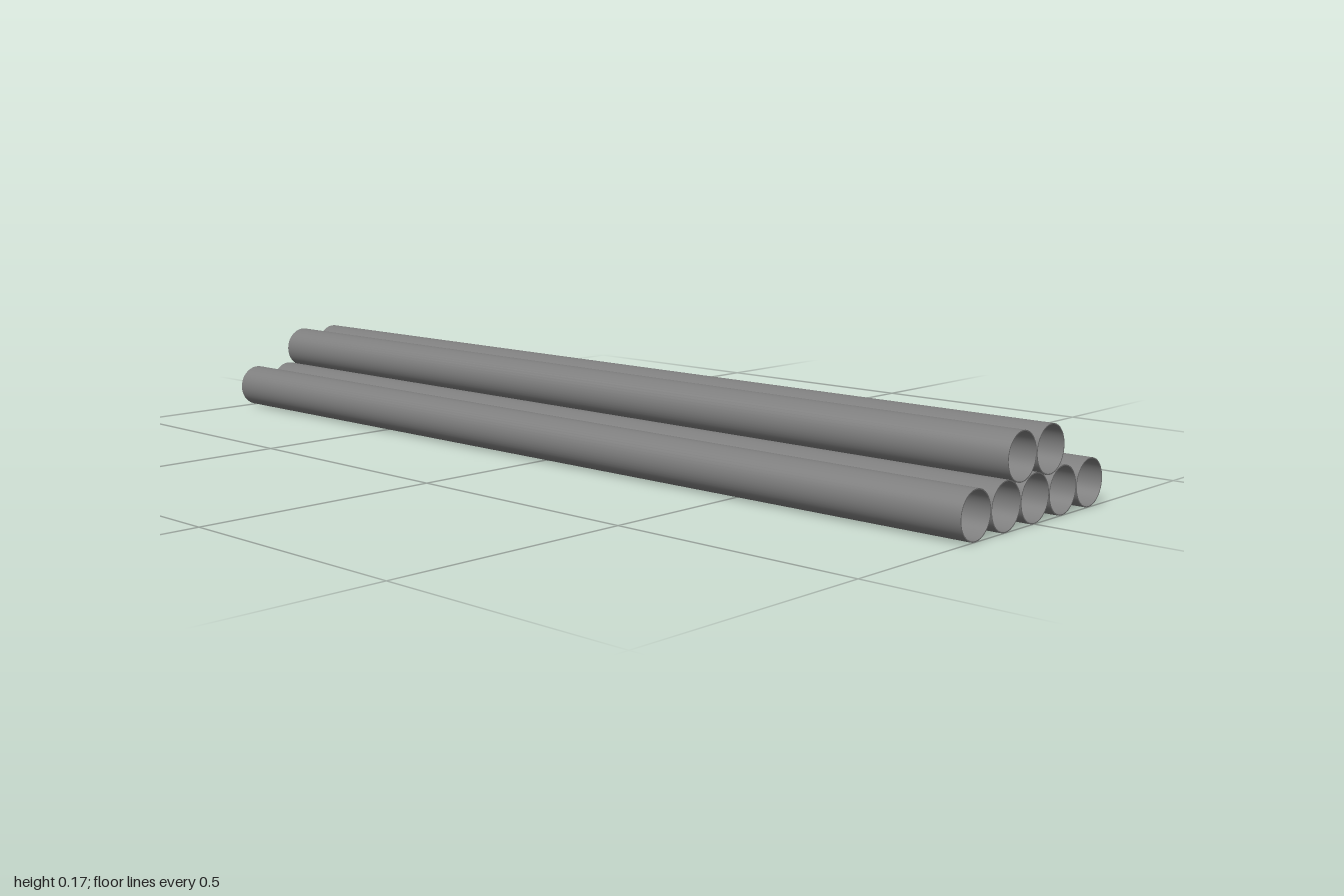
import * as THREE from 'three';
import { mergeGeometries } from 'three/addons/utils/BufferGeometryUtils.js';

const OUTER = 0.0449, INNER = 0.0428, HALF = 1, SPACING = 0.0908, SIDES = 48;

// Thin-walled open pipe along z; each profile edge is lathed separately to keep rims crisp
function pipeGeometry() {
  const profile = [[OUTER, -HALF], [OUTER, HALF], [INNER, HALF], [INNER, -HALF]]
    .map(([r, y]) => new THREE.Vector2(r, y));
  const walls = profile.map((p, i) => new THREE.LatheGeometry([p, profile[(i + 1) % 4]], SIDES));
  return mergeGeometries(walls).rotateX(Math.PI / 2);
}

export function createModel() {
  const group = new THREE.Group();
  group.name = 'pipeStack';
  const geometry = pipeGeometry();
  const material = new THREE.MeshStandardMaterial({ color: 0x7d7d7d, side: THREE.DoubleSide });

  // Five pipes on the ground, two resting in the grooves above
  const rows = [
    { name: 'lowerPipe', count: 5, y: 0.0454 },
    { name: 'upperPipe', count: 2, y: 0.0454 + SPACING * Math.sqrt(3) / 2 },
  ];
  for (const { name, count, y } of rows) {
    for (let i = 0; i < count; i++) {
      const pipe = new THREE.Mesh(geometry, material);
      pipe.name = `${name}${i + 1}`;
      pipe.position.set((i - (count - 1) / 2) * SPACING, y, 0);
      group.add(pipe);
    }
  }
  return group;
}
